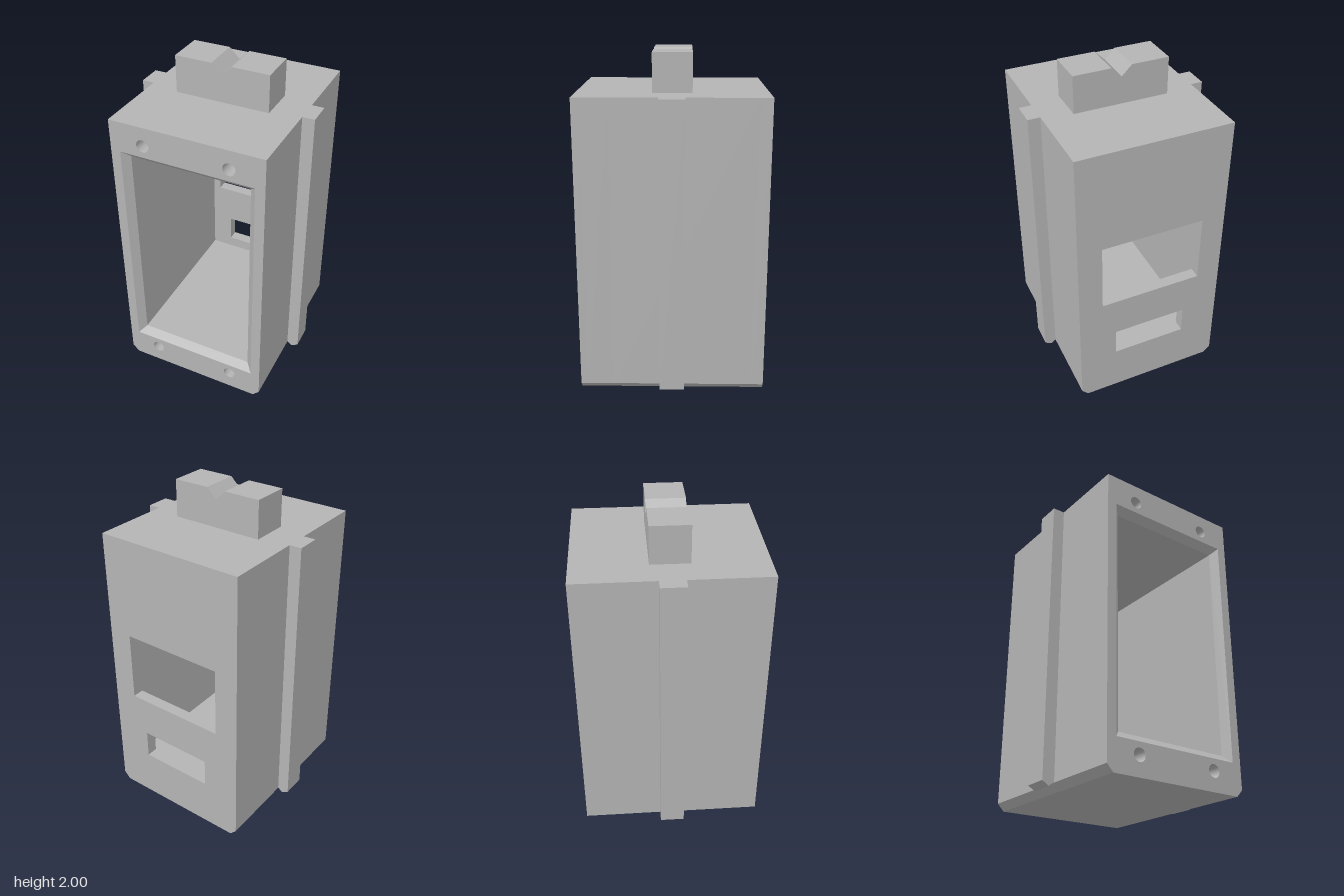
import * as THREE from 'three';

const W = 0.462, H = 1.775, D = 0.55;

function poly(points, Type = THREE.Shape) {
  return new Type(points.map(([x, y]) => new THREE.Vector2(x, y)));
}

// corners of a rectangle, symmetric in x, counter-clockwise from the front
const rect = (hw, y0, y1) => [[-hw, y0], [hw, y0], [hw, y1], [-hw, y1]];

export function createModel() {
  const group = new THREE.Group();
  const grey = new THREE.MeshStandardMaterial({ color: 0xb4b4b4 });

  const add = (name, geometry) => {
    const mesh = new THREE.Mesh(geometry, grey);
    mesh.name = name;
    group.add(mesh);
    return mesh;
  };
  const slab = (name, shape, z0, z1) => {
    const g = new THREE.ExtrudeGeometry(shape, { depth: z1 - z0, bevelEnabled: false, curveSegments: 16 });
    g.translate(0, 0, z0);
    return add(name, g);
  };
  // housing outline with chamfered lower edges
  const outline = (...holes) => {
    const s = poly([[-W + 0.04, 0], [W - 0.04, 0], [W, 0.042], [W, H], [-W, H], [-W, 0.042]]);
    s.holes.push(...holes);
    return s;
  };
  const opening = (hw, y0, y1) => poly(rect(hw, y0, y1), THREE.Path);
  const screwHoles = () => [[-1, 0.118], [1, 0.118], [-1, 1.66], [1, 1.66]].map(([side, y]) =>
    new THREE.Path().absarc(side * 0.257, y, 0.038, 0, Math.PI * 2, true));

  // housing, built in layers from back to front
  const inner = [0.363, 0.23, 1.547], outer = [0.404, 0.188, 1.588];
  const zBack = -0.48, zHole = 0.35, zBevel = 0.508;
  slab('backWall', outline(opening(0.315, 0.73, 1.16), opening(0.23, 0.302, 0.477)), -D, zBack);
  slab('housingShell', outline(opening(...inner)), zBack, zHole);
  slab('screwHoleShell', outline(opening(...inner), ...screwHoles()), zHole, zBevel);
  slab('frontFrame', outline(opening(...outer), ...screwHoles()), zBevel, D);

  // sloped faces around the front opening
  const a = rect(...outer), b = rect(...inner), pos = [];
  for (let i = 0; i < 4; i++) {
    const j = (i + 1) % 4;
    const o0 = [...a[i], D], o1 = [...a[j], D], i0 = [...b[i], zBevel], i1 = [...b[j], zBevel];
    pos.push(...o0, ...o1, ...i1, ...o0, ...i1, ...i0);
  }
  const bevel = new THREE.BufferGeometry();
  bevel.setAttribute('position', new THREE.Float32BufferAttribute(pos, 3));
  bevel.computeVertexNormals();
  add('openingBevel', bevel);

  // side rails with pointed lower ends
  for (const [name, s] of [['leftRail', 1], ['rightRail', -1]]) {
    slab(name, poly([[s * W, 0.045], [s * 0.494, 0.02], [s * 0.535, 0.045], [s * 0.535, H], [s * W, H]]), -0.073, 0.073);
  }

  // top tab with V notch
  slab('topTab', poly([[-0.285, H], [0.285, H], [0.285, 2], [0.061, 2], [0, 1.94], [-0.061, 2], [-0.285, 2]]), -0.114, 0.114);

  return group;
}
